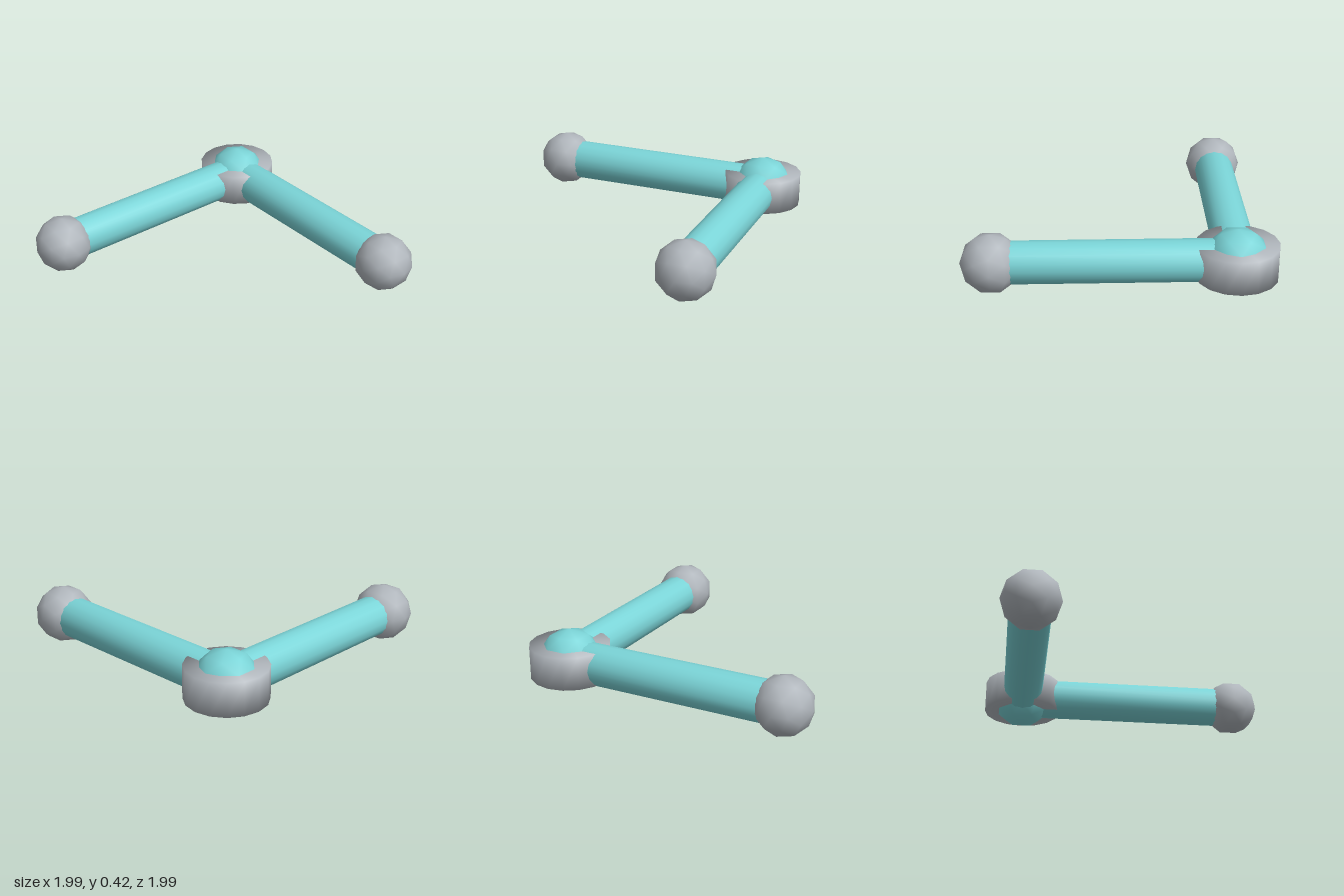
import * as THREE from 'three';
import { mergeVertices } from 'three/addons/utils/BufferGeometryUtils.js';

const teal = new THREE.MeshStandardMaterial({ color: 0x7bd5d8 });
teal.name = 'teal';
const gray = new THREE.MeshStandardMaterial({ color: 0xb0b6bc });
gray.name = 'gray';

const CORNER = -0.735; // x and z of the corner joint
const END = 0.8;       // far end of each arm
const AXIS = 0.21;     // height of the arm axes

// Capped cylinder whose normals are blended across the rims
function softCylinder(radius, height) {
  const raw = new THREE.CylinderGeometry(radius, radius, height, 16);
  raw.deleteAttribute('normal');
  raw.deleteAttribute('uv');
  const geometry = mergeVertices(raw);
  geometry.computeVertexNormals();
  return geometry;
}

export function createModel() {
  const model = new THREE.Group();
  model.name = 'cornerBracket';

  function add(name, geometry, material, x, z) {
    const mesh = new THREE.Mesh(geometry, material);
    mesh.name = name;
    mesh.position.set(x, AXIS, z);
    model.add(mesh);
    return mesh;
  }

  // Corner joint: faceted ball inside a squat collar
  add('cornerBall', new THREE.IcosahedronGeometry(0.21, 1), teal, CORNER, CORNER);
  add('cornerCollar', softCylinder(0.265, 0.22), gray, CORNER, CORNER);

  // Two arms at right angles
  const armGeometry = softCylinder(0.137, END - CORNER);
  const middle = (END + CORNER) / 2;
  add('sideArm', armGeometry, teal, middle, CORNER).rotation.z = -Math.PI / 2;
  add('frontArm', armGeometry, teal, CORNER, middle).rotation.x = Math.PI / 2;

  // Balls at the arm ends
  const endGeometry = new THREE.IcosahedronGeometry(0.194, 1);
  add('sideEndBall', endGeometry, gray, END, CORNER);
  add('frontEndBall', endGeometry, gray, CORNER, END);

  return model;
}
